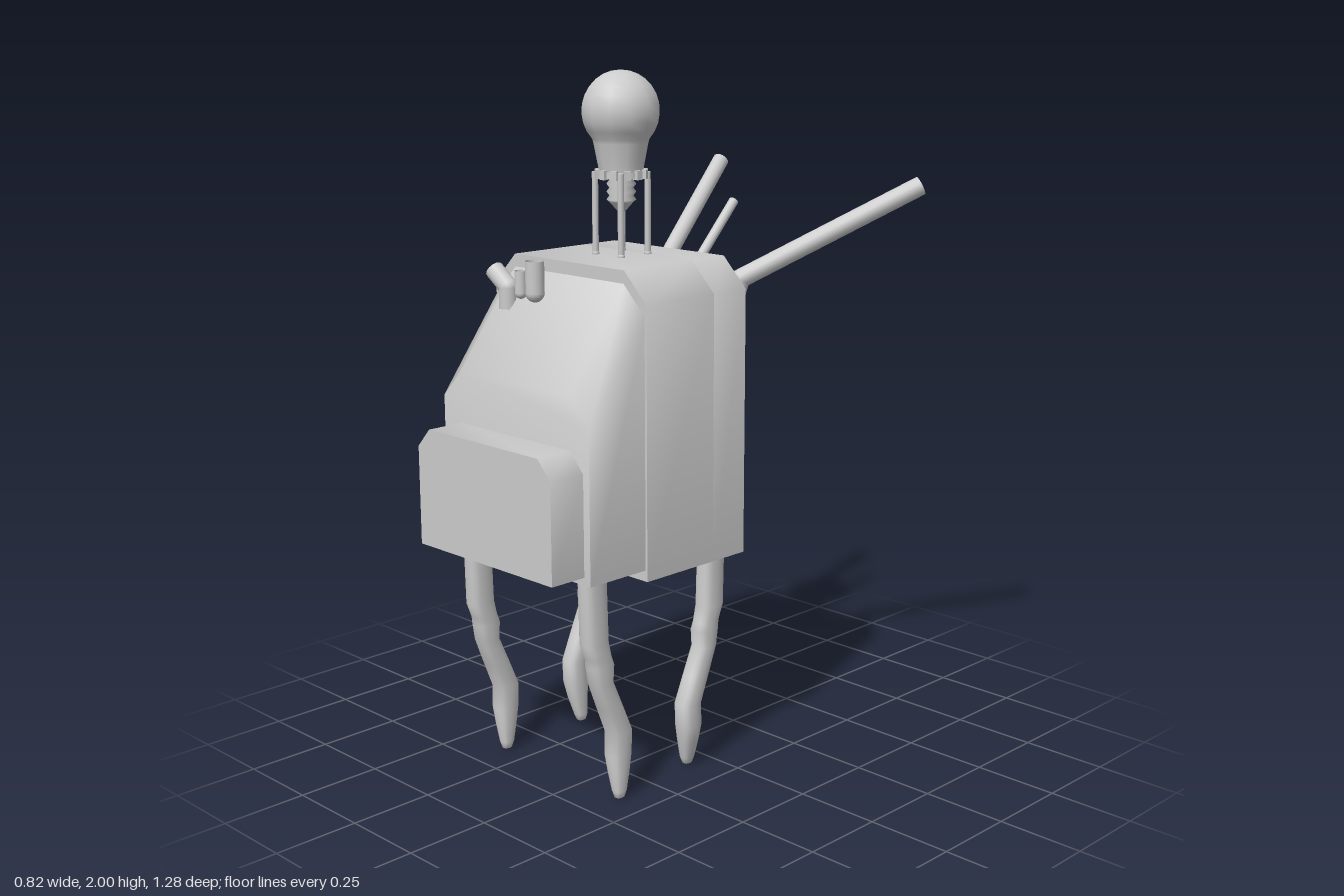
import * as THREE from 'three';
import { toCreasedNormals } from 'three/addons/utils/BufferGeometryUtils.js';

const V = (x, y, z) => new THREE.Vector3(x, y, z);
const grey = new THREE.MeshStandardMaterial({ color: 0xcccccc });
const thin = new THREE.MeshStandardMaterial({ color: 0xcccccc, side: THREE.DoubleSide });
const CX = -0.106;

function add(parent, name, geo, mat = grey) {
  const m = new THREE.Mesh(geo, mat);
  m.name = name;
  parent.add(m);
  return m;
}

// Rectangle with its two upper corners cut off
function trace(path, x0, x1, y0, y1, cx, cy) {
  path.moveTo(x0, y0);
  path.lineTo(x1, y0);
  path.lineTo(x1, y1 - cy);
  path.lineTo(x1 - cx, y1);
  path.lineTo(x0 + cx, y1);
  path.lineTo(x0, y1 - cy);
  path.closePath();
  return path;
}

function slab(outline, z0, z1, hole) {
  const shape = trace(new THREE.Shape(), ...outline);
  if (hole) shape.holes.push(trace(new THREE.Path(), ...hole));
  const geo = new THREE.ExtrudeGeometry(shape, { depth: z1 - z0, bevelEnabled: false });
  geo.translate(0, 0, z0);
  return geo;
}
const crease = (geo) => toCreasedNormals(geo, 1.1);

// Move every vertex by a rule
function reshape(geo, rule) {
  const p = geo.attributes.position, v = V(0, 0, 0);
  for (let i = 0; i < p.count; i++) {
    rule(v.fromBufferAttribute(p, i));
    p.setXYZ(i, v.x, v.y, v.z);
  }
  return geo;
}

// Straight pipe sections joined by ball elbows
function pipe(parent, name, pts, r, open = false) {
  const g = new THREE.Group();
  g.name = name;
  for (let i = 0; i < pts.length - 1; i++) {
    const dir = pts[i + 1].clone().sub(pts[i]);
    const geo = new THREE.CylinderGeometry(r, r, dir.length(), 14, 1, open);
    const m = add(g, 'pipeSection', geo, open ? thin : grey);
    m.position.copy(pts[i]).addScaledVector(dir, 0.5);
    m.quaternion.setFromUnitVectors(V(0, 1, 0), dir.normalize());
    if (i > 0) add(g, 'elbow', new THREE.SphereGeometry(r, 14, 10)).position.copy(pts[i]);
  }
  parent.add(g);
  return g;
}

// Leg rings: [y, z, half width x, half depth z, sideways shift]
const LEG = [
  [0.672, 0.465, 0.032, 0.040, 0], [0.48, 0.460, 0.032, 0.041, 0],
  [0.435, 0.446, 0.030, 0.038, 0], [0.41, 0.440, 0.032, 0.041, 0],
  [0.36, 0.438, 0.032, 0.034, 0], [0.28, 0.405, 0.032, 0.037, 0],
  [0.20, 0.372, 0.033, 0.038, 0], [0.13, 0.374, 0.033, 0.037, 0],
  [0.08, 0.377, 0.027, 0.030, 0.005], [0.025, 0.382, 0.018, 0.021, 0.013],
  [0.005, 0.383, 0.012, 0.014, 0.014], [0, 0.383, 0.001, 0.001, 0.014],
];
const squarish = (v) => Math.sign(v) * Math.abs(v) ** 0.75;
function legGeometry(back, shift) {
  const n = 16, pos = [], idx = [];
  LEG.forEach(([y, z, rx, rz, s], j) => {
    for (let i = 0; i < n; i++) {
      const a = (i / n) * Math.PI * 2;
      pos.push(squarish(Math.cos(a)) * rx + s * shift, back ? Math.min(y, 0.65) : y,
        (back ? 0.465 - z : z) + squarish(Math.sin(a)) * rz);
      if (j === LEG.length - 1) continue;
      const p = j * n + i, q = j * n + ((i + 1) % n);
      idx.push(p, q, p + n, q, q + n, p + n);
    }
  });
  const geo = new THREE.BufferGeometry();
  geo.setAttribute('position', new THREE.Float32BufferAttribute(pos, 3));
  geo.setIndex(idx);
  geo.computeVertexNormals();
  return geo;
}

function makeLamp() {
  const lamp = new THREE.Group();
  lamp.name = 'lamp';
  // Glass globe running down into a tapered neck
  const profile = [[0, 1.722], [0.064, 1.722], [0.067, 1.74], [0.079, 1.80]];
  for (let i = 0; i <= 10; i++) {
    const a = -0.75 + (i / 10) * (Math.PI / 2 + 0.75);
    profile.push([Math.max(0, Math.cos(a) * 0.112), 1.888 + Math.sin(a) * 0.112]);
  }
  const lathe = (pts, n) => new THREE.LatheGeometry(pts.map((p) => new THREE.Vector2(...p)), n);
  add(lamp, 'bulb', crease(lathe(profile, 12)));
  // Screw base with thread ridges and contact tip
  const base = [[0, 1.605], [0.012, 1.61], [0.034, 1.635]];
  for (let i = 0; i < 4; i++) base.push([0.042, 1.642 + i * 0.022], [0.034, 1.653 + i * 0.022]);
  add(lamp, 'screwBase', lathe(base, 16));
  // Notched collar
  const ring = [[0.052, 1.704], [0.066, 1.704], [0.066, 1.722], [0.052, 1.722], [0.052, 1.704]];
  add(lamp, 'collar', crease(lathe(ring, 20)));
  for (let i = 0; i < 12; i++) {
    const a = (i / 12) * Math.PI * 2;
    const tooth = add(lamp, 'collarTooth', new THREE.BoxGeometry(0.018, 0.026, 0.018));
    tooth.position.set(Math.cos(a) * 0.066, 1.714, Math.sin(a) * 0.066);
    tooth.rotation.y = -a;
  }
  // Four support posts with small feet
  for (const sx of [-1, 1]) for (const sz of [-1, 1]) {
    add(lamp, 'post', new THREE.CylinderGeometry(0.009, 0.009, 0.24, 8)).position.set(sx * 0.052, 1.6, sz * 0.052);
    add(lamp, 'postFoot', new THREE.SphereGeometry(0.011, 8, 6)).position.set(sx * 0.052, 1.49, sz * 0.052);
  }
  lamp.position.set(-0.109, 0, 0.112);
  return lamp;
}

export function createModel() {
  const model = new THREE.Group();
  model.name = 'walkingMachine';

  // Main casing, hollowed at the back
  const outer = [-0.413, 0.202, 0.636, 1.488, 0.085, 0.085];
  const inner = [-0.408, 0.197, 0.66, 1.483, 0.083, 0.083];
  add(model, 'mainCasing', crease(slab(outer, 0.06, 0.32)));
  add(model, 'backShell', crease(slab(outer, -0.068, 0.06, inner)));

  // Back panel: upright below, leaning inward toward the top
  const lean = 1.15;
  const lower = new THREE.BoxGeometry(0.605, lean - 0.65, 0.118);
  add(model, 'lowerBackPanel', lower).position.set(CX, (lean + 0.65) / 2, 0.001);
  const upper = slab([-0.408, 0.197, lean, 1.483, 0.083, 0.083], -0.058, 0.06);
  add(model, 'upperBackPanel', crease(reshape(upper, (v) => {
    if (v.z < 0) v.z += (v.y - lean) * 0.32;
  })));

  // Front casing: its upper edge slopes down toward the front
  const nose = slab([-0.407, 0.195, 0.668, 1.465, 0.08, 0.08], 0.31, 0.525);
  add(model, 'frontCasing', crease(reshape(nose, (v) => {
    if (v.z > 0.5 && v.y > 1) v.y -= 0.285;
  })));
  add(model, 'snout', crease(slab([-0.383, 0.171, 0.69, 1.03, 0.05, 0.055], 0.52, 0.64)));

  model.add(makeLamp());

  // Four jointed legs
  for (const back of [false, true]) for (const side of [-1, 1]) {
    const leg = add(model, back ? 'backLeg' : 'frontLeg', legGeometry(back, back ? -side : 1));
    leg.position.x = CX - 0.002 + side * 0.244;
  }

  // Exhaust pipes rising from the back
  pipe(model, 'largeExhaust', [V(-0.15, 1.02, -0.04), V(-0.04, 0.985, -0.138), V(0.055, 1.4, -0.205), V(0.383, 1.662, -0.617)], 0.028);
  pipe(model, 'mediumExhaust', [V(-0.255, 1.07, -0.04), V(-0.262, 1.07, -0.203), V(-0.266, 1.4, -0.203), V(-0.34, 1.695, -0.54)], 0.025);
  pipe(model, 'smallExhaust', [V(-0.18, 1.2, -0.03), V(-0.215, 1.2, -0.21), V(-0.16, 1.38, -0.21), V(-0.172, 1.59, -0.42)], 0.015);

  // Short open pipes on the front slope
  pipe(model, 'bentFrontPipe', [V(-0.343, 1.448, 0.385), V(-0.284, 1.405, 0.385), V(-0.284, 1.345, 0.385)], 0.027, true);
  for (const [x, top, foot, r] of [[-0.23, 1.457, 1.395, 0.017], [-0.17, 1.49, 1.402, 0.027]]) {
    const g = pipe(model, 'uprightFrontPipe', [V(x, top, 0.385), V(x, foot, 0.385)], r, true);
    // Closed, rounded foot
    const cup = new THREE.SphereGeometry(r, 14, 6, 0, Math.PI * 2, Math.PI / 2, Math.PI / 2);
    add(g, 'pipeFoot', cup, thin).position.set(x, foot, 0.385);
  }

  return model;
}
